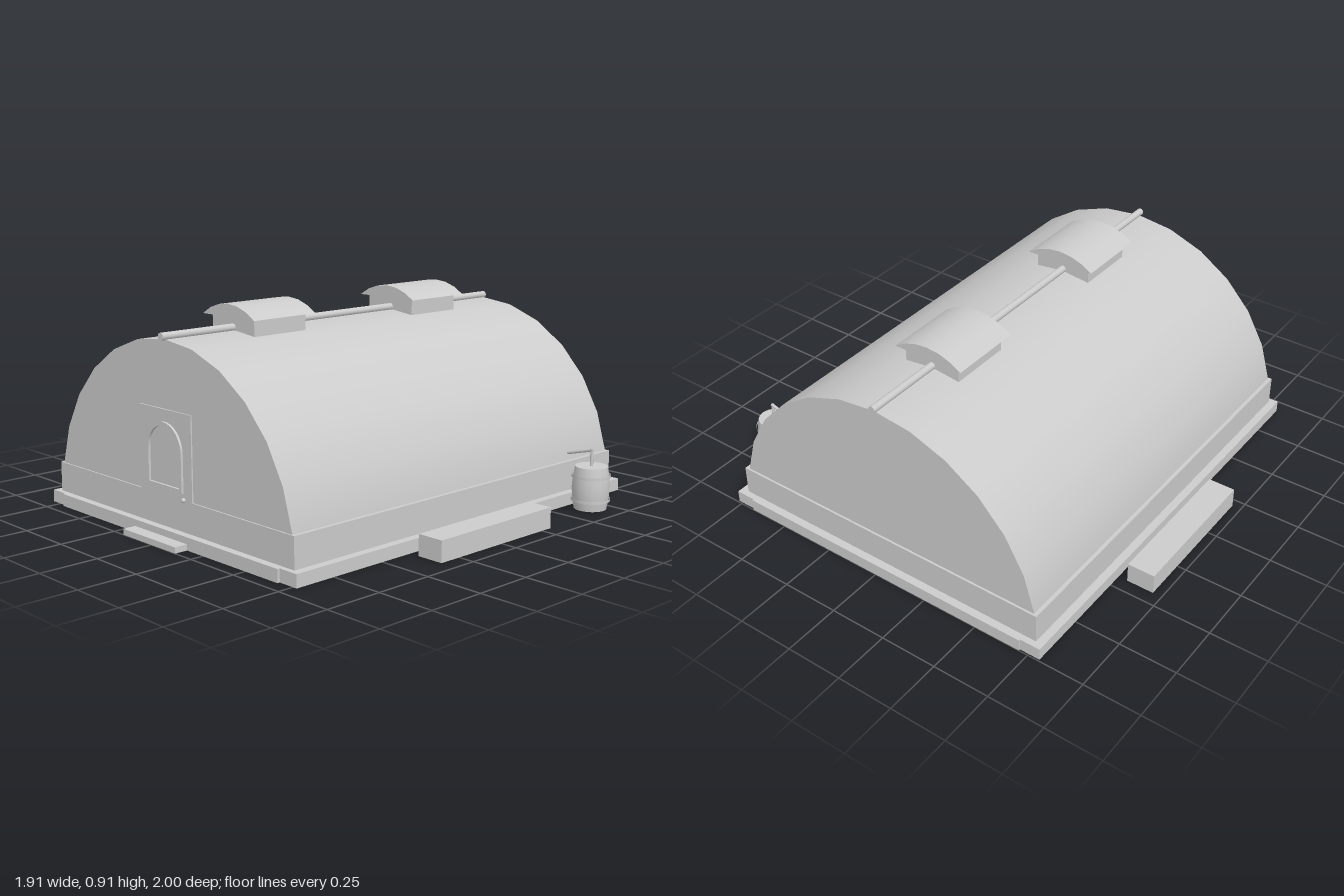
import * as THREE from 'three';

export function createModel() {
  const model = new THREE.Group();
  const grey = new THREE.MeshStandardMaterial({ color: 0xcccccc, side: THREE.DoubleSide });
  grey.name = 'light grey';
  const CX = -0.015; // centre line of the building

  function add(name, geometry, parent = model) {
    const mesh = new THREE.Mesh(geometry, grey);
    mesh.name = name;
    parent.add(mesh);
    return mesh;
  }

  // Box given by its lower and upper corners
  function box(name, x0, x1, y0, y1, z0, z1, parent = model) {
    const mesh = add(name, new THREE.BoxGeometry(x1 - x0, y1 - y0, z1 - z0), parent);
    mesh.position.set((x0 + x1) / 2, (y0 + y1) / 2, (z0 + z1) / 2);
    return mesh;
  }

  // Round rod between two points
  function rod(name, a, b, radius, sides = 10, parent = model) {
    const from = new THREE.Vector3(...a), to = new THREE.Vector3(...b);
    const dir = to.clone().sub(from);
    const mesh = add(name, new THREE.CylinderGeometry(radius, radius, dir.length(), sides), parent);
    mesh.position.copy(from).add(to).multiplyScalar(0.5);
    mesh.quaternion.setFromUnitVectors(new THREE.Vector3(0, 1, 0), dir.normalize());
    return mesh;
  }

  // Smooth arched surface along z with flat ends; origin at the arc's centre
  function vault(name, radius, half, z0, z1, segments) {
    const group = new THREE.Group();
    group.name = name;
    const shell = new THREE.CylinderGeometry(radius, radius, z1 - z0, segments, 1, true, Math.PI - half, 2 * half);
    shell.rotateX(Math.PI / 2).translate(0, 0, (z0 + z1) / 2);
    add(name + 'Shell', shell, group);
    const points = [];
    for (let i = 0; i <= segments; i++) {
      const a = Math.PI / 2 - half + (2 * half * i) / segments;
      points.push(new THREE.Vector2(radius * Math.cos(a), radius * Math.sin(a)));
    }
    const end = new THREE.ShapeGeometry(new THREE.Shape(points));
    add(name + 'FrontEnd', end, group).position.z = z1;
    const back = add(name + 'BackEnd', end, group);
    back.rotation.y = Math.PI;
    back.position.z = z0;
    model.add(group);
    return group;
  }

  // Open base frame
  for (const s of [-1, 1]) {
    const x = CX + s * 0.74;
    box('baseSideBeam', x - 0.045, x + 0.045, 0, 0.053, -0.993, 0.932);
  }
  box('baseFrontBeam', -0.71, 0.68, 0, 0.053, 0.85, 0.943);
  box('baseBackBeam', -0.71, 0.68, 0, 0.053, -1, -0.907);

  // Low wall around the foot of the vault
  for (const s of [-1, 1]) {
    const x = CX + s * 0.74;
    box('lowSideWall', x - 0.01, x + 0.01, 0.053, 0.18, -0.966, 0.911);
  }
  box('lowFrontWall', -0.755, 0.725, 0.053, 0.18, 0.904, 0.911);
  box('lowBackWall', -0.755, 0.725, 0.053, 0.18, -0.966, -0.957);

  // Main vault, its foot hidden inside the base
  const step = 0.2336;
  vault('vault', 0.745, 7 * step, -0.956, 0.905, 14).position.set(CX, 0.053, 0);

  // Ridge pipe and two roof vents
  rod('ridgePipe', [CX, 0.808, -0.967], [CX, 0.808, 0.921], 0.016, 12);
  for (const z of [0.425, -0.473]) {
    box('ventBox', CX - 0.13, CX + 0.13, 0.77, 0.856, z - 0.136, z + 0.136);
    const cap = vault('ventCap', 0.268, 0.64, -0.162, 0.162, 6);
    cap.position.set(CX, 0.905 - 0.268, z);
    const under = add('ventCapUnderside', new THREE.PlaneGeometry(0.32, 0.324), cap);
    under.rotation.x = Math.PI / 2;
    under.position.y = 0.268 * Math.cos(0.64);
  }

  // Door: backing plate, arched trim, sill and latch
  box('doorPlate', -0.18, 0.15, 0.18, 0.524, 0.903, 0.911);
  const arch = (r, bottom, into) => {
    into.moveTo(-r, bottom);
    into.lineTo(r, bottom);
    into.lineTo(r, 0.363);
    into.absarc(0, 0.363, r, 0, Math.PI, false);
    into.closePath();
    return into;
  };
  const trim = arch(0.112, 0.215, new THREE.Shape());
  trim.holes.push(arch(0.097, 0.224, new THREE.Path()));
  add('doorTrim', new THREE.ExtrudeGeometry(trim, { depth: 0.012, bevelEnabled: false, curveSegments: 14 }))
    .position.set(CX, 0, 0.909);
  box('doorSill', -0.127, 0.097, 0.208, 0.216, 0.909, 0.918);
  const latch = add('doorLatch', new THREE.SphereGeometry(0.01, 10, 8));
  latch.position.set(0.1, 0.182, 0.914);

  // Doorstep and the two benches beside the building
  box('doorstep', -0.185, 0.153, 0, 0.025, 0.94, 1);
  box('rightBench', -0.96, -0.84, 0, 0.088, -0.44, 0.212);
  box('leftBench', 0.813, 0.93, 0, 0.088, -0.303, 0.35);

  // Water barrel with hoops and a spout
  const barrel = new THREE.Group();
  barrel.name = 'barrel';
  barrel.position.set(0.872, 0, -0.648);
  model.add(barrel);
  const profile = [[0.069, 0.006], [0.076, 0.045], [0.081, 0.098], [0.076, 0.15], [0.069, 0.19]]
    .map(([r, y]) => new THREE.Vector2(r, y));
  add('barrelBody', new THREE.LatheGeometry(profile, 16), barrel);
  for (const [y, side] of [[0.19, -1], [0.006, 1]]) {
    const lid = add('barrelEnd', new THREE.CircleGeometry(0.069, 16), barrel);
    lid.rotation.x = side * Math.PI / 2;
    lid.position.y = y;
  }
  for (const y of [0.048, 0.149]) {
    const hoop = add('barrelHoop', new THREE.CylinderGeometry(0.083, 0.083, 0.012, 16, 1, true), barrel);
    hoop.position.y = y;
  }
  rod('standpipe', [0, 0.185, 0], [0, 0.264, 0], 0.007, 8, barrel);
  rod('gutterPipe', [0.006, 0.26, 0], [-0.125, 0.225, 0], 0.007, 8, barrel);

  return model;
}
